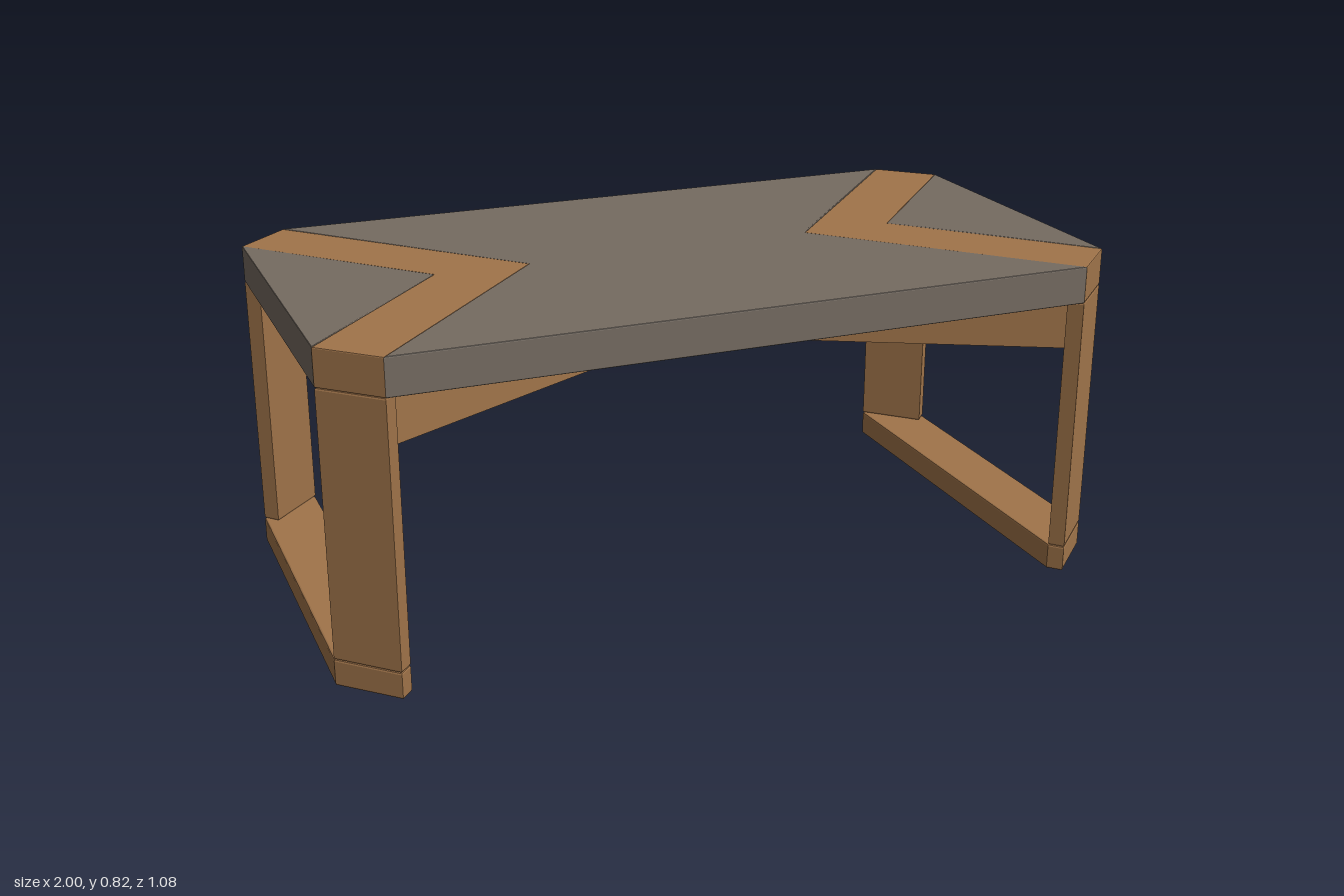
import * as THREE from 'three';

const wood = new THREE.MeshStandardMaterial({ color: 0xa0744a });
wood.name = 'oak wood';
const stone = new THREE.MeshStandardMaterial({ color: 0x756b61 });
stone.name = 'grey top';

// Upright prism over a plan outline of [x, z] points, with slightly eased edges
function prism(name, plan, y0, y1, material, ease = 0.003) {
  const shape = new THREE.Shape(plan.map(([x, z]) => new THREE.Vector2(x, z)));
  const geometry = new THREE.ExtrudeGeometry(shape, {
    depth: y1 - y0 - 2 * ease,
    bevelEnabled: ease > 0,
    bevelThickness: ease,
    bevelSize: ease,
    bevelOffset: -ease,
    bevelSegments: 2,
  });
  geometry.rotateX(Math.PI / 2);
  geometry.translate(0, y1 - ease, 0);
  const mesh = new THREE.Mesh(geometry, material);
  mesh.name = name;
  return mesh;
}

export function createModel() {
  const table = new THREE.Group();
  table.name = 'coffeeTable';

  const railTop = 0.067, beamBottom = 0.6, slabBottom = 0.727, top = 0.82;
  const ex = 1, ez = 0.42;         // corner cut, on the short side
  const fx = 0.873, fz = 0.542;    // corner cut, on the long side
  const apexIn = 0.375, apexOut = 0.615;
  const legIn = [[0.845, 0.512], [0.97, 0.387]]; // inner face of a leg

  // Middle panel of the top, notched at both ends
  table.add(prism('middlePanel', [
    [fx, fz], [apexIn, 0], [fx, -fz], [-fx, -fz], [-apexIn, 0], [-fx, fz],
  ], slabBottom, top, stone));

  for (const sx of [1, -1]) {
    const flip = (points) => points.map(([x, z]) => [sx * x, z]);
    const side = sx > 0 ? 'left' : 'right';

    // Triangular end panel and the wooden chevron between the panels
    table.add(prism(side + 'EndPanel',
      flip([[ex, ez], [apexOut, 0], [ex, -ez]]), slabBottom, top, stone));
    table.add(prism(side + 'Chevron', flip([
      [fx, fz], [ex, ez], [apexOut, 0], [ex, -ez], [fx, -fz], [apexIn, 0],
    ]), slabBottom, top, wood));

    // Floor rail joining the two legs of one end
    table.add(prism(side + 'FloorRail', flip([
      [ex, ez], [fx, fz], legIn[0], [legIn[0][0], -legIn[0][1]], [fx, -fz], [ex, -ez],
    ]), 0, railTop, wood, 0.005));

    // Diagonal legs at the cut corners
    for (const sz of [1, -1]) {
      const plan = flip([[fx, fz], [ex, ez], legIn[1], legIn[0]]).map(([x, z]) => [x, sz * z]);
      table.add(prism((sz > 0 ? 'front' : 'back') + 'Leg', plan, railTop, slabBottom, wood, 0.005));
    }
  }

  // Crossed beams under the top, their ends cut to meet the legs
  const a = [0.856, 0.501], b = [0.928, 0.429];
  for (const s of [1, -1]) {
    table.add(prism('crossBeam', [
      [a[0], s * a[1]], [b[0], s * b[1]], [-a[0], -s * a[1]], [-b[0], -s * b[1]],
    ], beamBottom, slabBottom, wood, 0));
  }

  return table;
}
